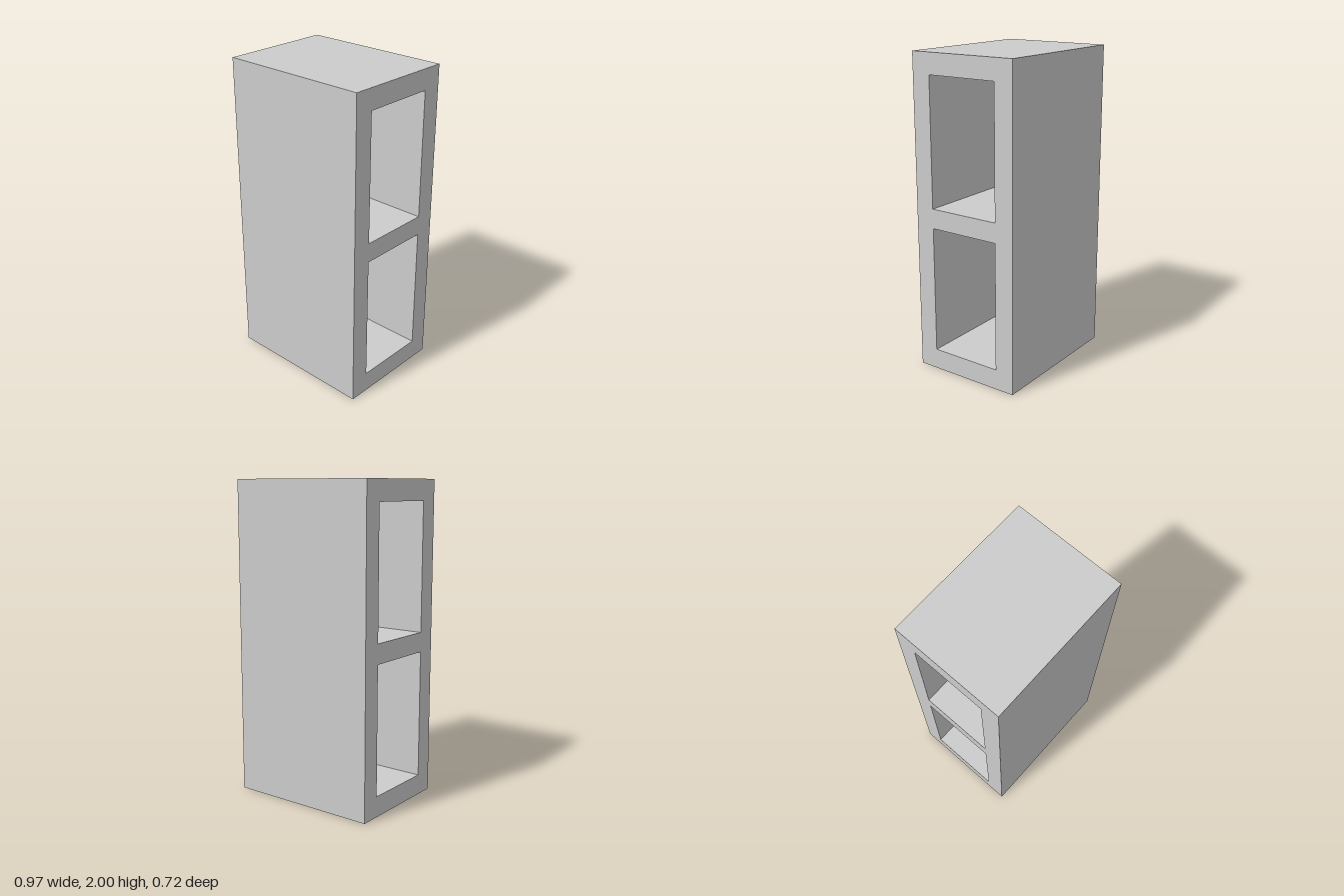
import * as THREE from 'three';

const WIDTH = 0.974, HEIGHT = 2, DEPTH = 0.718;
const HOLE_DEPTH = 0.47;

// Traces a rectangle centred on the profile's x axis
function traceRect(path, width, bottom, top) {
  const h = width / 2;
  path.moveTo(-h, bottom);
  path.lineTo(h, bottom);
  path.lineTo(h, top);
  path.lineTo(-h, top);
  path.closePath();
  return path;
}

export function createModel() {
  const group = new THREE.Group();
  group.name = 'hollowBlock';

  // Side profile with two cores, extruded across the width
  const profile = traceRect(new THREE.Shape(), DEPTH, 0, HEIGHT);
  for (const [bottom, top] of [[0.13, 0.938], [1.062, 1.87]]) {
    profile.holes.push(traceRect(new THREE.Path(), HOLE_DEPTH, bottom, top));
  }
  const geometry = new THREE.ExtrudeGeometry(profile, { depth: WIDTH, bevelEnabled: false });
  geometry.translate(0, 0, -WIDTH / 2);
  geometry.rotateY(Math.PI / 2);

  const block = new THREE.Mesh(geometry, new THREE.MeshStandardMaterial({ color: 0xcccccc }));
  block.name = 'block';
  group.add(block);
  return group;
}
